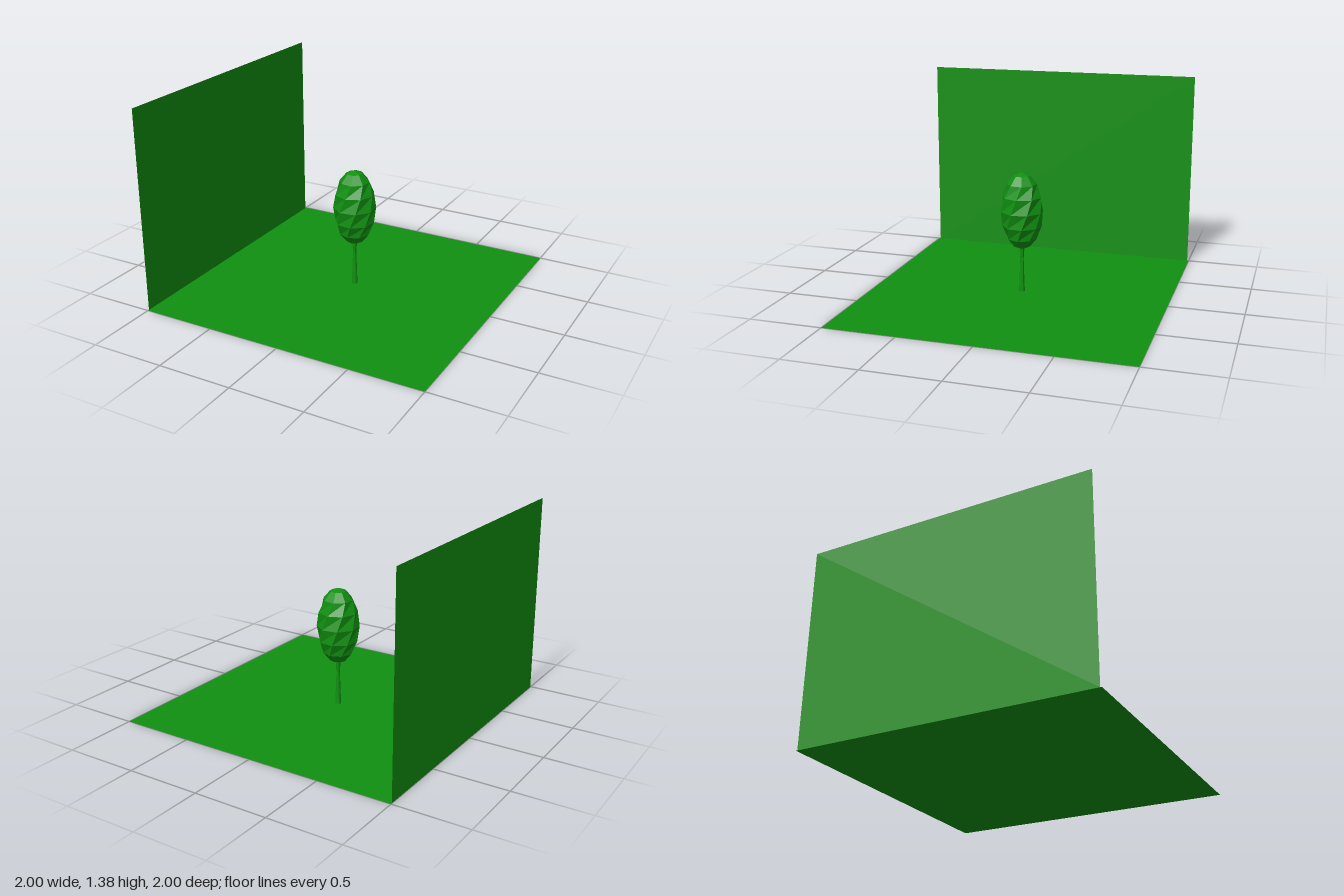
import * as THREE from 'three';

const SIDES = 8;

// Low-poly ovoid whose middle rings are twisted, so each band pinches inward
function twistedOvoid(radius, halfHeight, twist) {
  const rings = 8;
  const pos = [];
  const index = [];
  for (let r = 0; r <= rings; r++) {
    const polar = Math.PI * (1 - r / rings); // bottom to top
    const turn = twist * THREE.MathUtils.clamp(r - 2, 0, rings - 4);
    for (let i = 0; i < SIDES; i++) {
      const a = (i / SIDES) * Math.PI * 2 + turn;
      const rad = radius * Math.sin(polar);
      pos.push(rad * Math.sin(a), halfHeight * Math.cos(polar), rad * Math.cos(a));
    }
  }
  for (let r = 0; r < rings; r++) {
    for (let i = 0; i < SIDES; i++) {
      const j = (i + 1) % SIDES;
      const a = r * SIDES + i, b = r * SIDES + j;
      const c = b + SIDES, d = a + SIDES;
      if (r > 0) index.push(a, b, c);
      if (r < rings - 1) index.push(a, c, d);
    }
  }
  const geo = new THREE.BufferGeometry();
  geo.setAttribute('position', new THREE.Float32BufferAttribute(pos, 3));
  geo.setIndex(index);
  const flat = geo.toNonIndexed();
  flat.computeVertexNormals();
  return flat;
}

export function createModel() {
  const group = new THREE.Group();
  group.name = 'treeScene';
  const green = new THREE.MeshStandardMaterial({
    color: 0x109010, flatShading: true, side: THREE.DoubleSide,
  });
  green.name = 'green';

  const add = (name, geometry, x, y, z) => {
    const mesh = new THREE.Mesh(geometry, green);
    mesh.name = name;
    mesh.position.set(x, y, z);
    group.add(mesh);
    return mesh;
  };

  // Flat ground and the upright panel along its -x edge
  add('ground', new THREE.PlaneGeometry(2, 2).rotateX(-Math.PI / 2), 0, 0, 0);
  add('wall', new THREE.PlaneGeometry(1.98, 1.38).rotateY(Math.PI / 2), -1, 0.69, 0);

  // Trunk: wide foot, slim neck, slight flare under the leaves
  const profile = [[0, 0.005], [0.021, 0.005], [0.017, 0.1], [0.012, 0.24], [0.018, 0.32]]
    .map(([r, y]) => new THREE.Vector2(r, y));
  add('trunk', new THREE.LatheGeometry(profile, SIDES), 0, 0, 0);

  // Leaves
  add('foliage', twistedOvoid(0.145, 0.265, Math.PI / 3 - Math.PI / 4), 0, 0.57, 0);

  return group;
}
